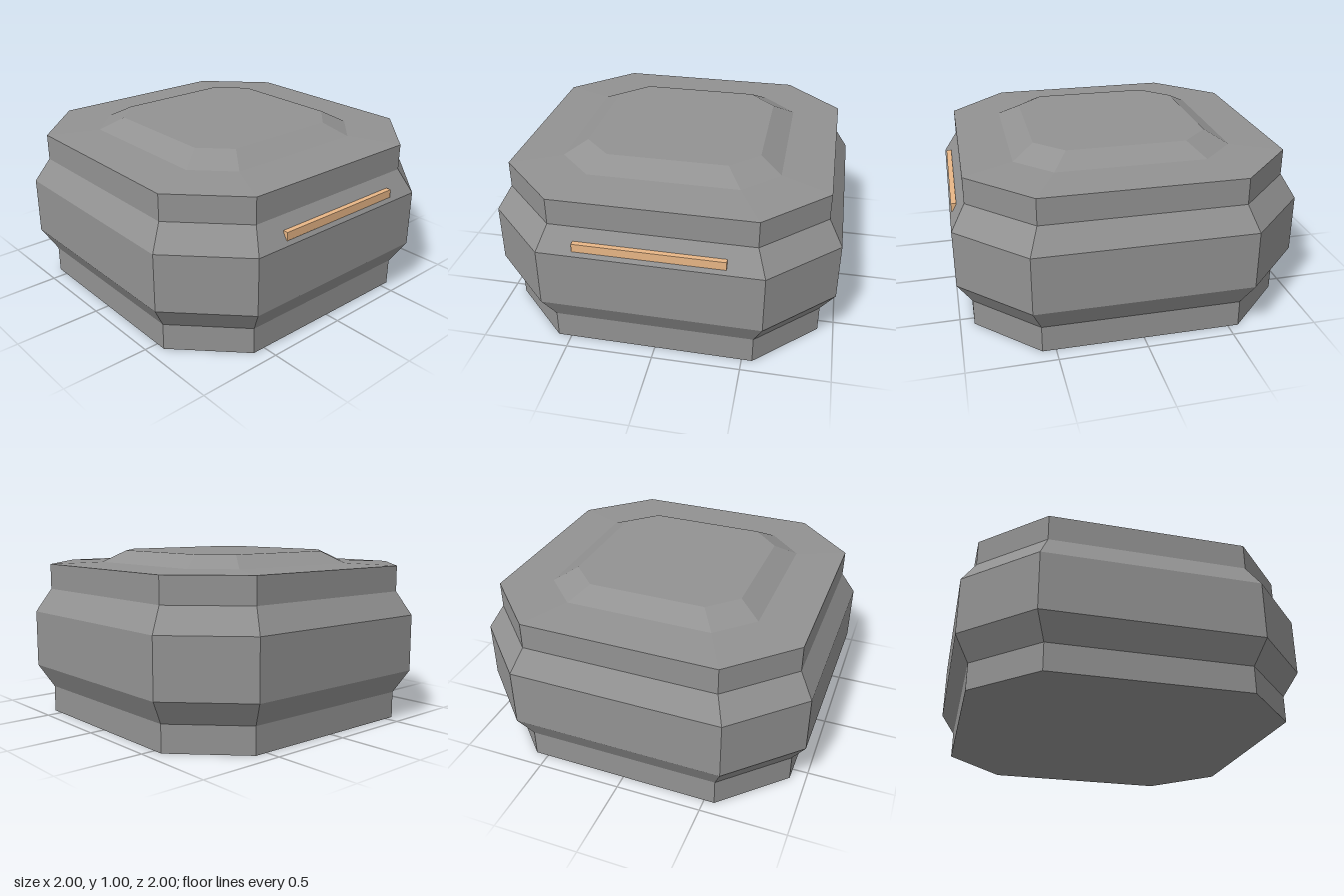
import * as THREE from 'three';

// Corners of a square with half width h whose corners are cut at c
const octagon = (h, c, y) =>
  [[h, -c], [h, c], [c, h], [-c, h], [-h, c], [-h, -c], [-c, -h], [c, -h]].map(([x, z]) => [x, y, z]);

// Stacks octagonal rings [halfWidth, cut, y] from bottom to top and closes both ends
function loft(rings) {
  const loops = rings.map(([h, c, y]) => octagon(h, c, y));
  const pos = [];
  const tri = (...corners) => corners.forEach((p) => pos.push(...p));
  for (let r = 0; r < loops.length - 1; r++) {
    const low = loops[r], high = loops[r + 1];
    for (let i = 0; i < 8; i++) {
      const j = (i + 1) % 8;
      tri(low[i], high[i], high[j]);
      tri(low[i], high[j], low[j]);
    }
  }
  const first = loops[0], last = loops[loops.length - 1];
  for (let i = 1; i < 7; i++) {
    tri(first[0], first[i], first[i + 1]);
    tri(last[0], last[i + 1], last[i]);
  }
  const geometry = new THREE.BufferGeometry();
  geometry.setAttribute('position', new THREE.Float32BufferAttribute(pos, 3));
  geometry.computeVertexNormals();
  return geometry;
}

export function createModel() {
  const group = new THREE.Group();
  const darkGrey = new THREE.MeshStandardMaterial({ color: 0x929292, flatShading: true });
  const tan = new THREE.MeshStandardMaterial({ color: 0xe9b786, flatShading: true });

  // Eight-sided case: foot, wide belt, neck and raised lid
  const body = new THREE.Mesh(loft([
    [0.914, 0.568, 0],
    [0.914, 0.568, 0.157],
    [0.9945, 0.619, 0.296],
    [0.9945, 0.619, 0.632],
    [0.914, 0.568, 0.771],
    [0.914, 0.568, 0.923],
    [0.63, 0.43, 0.932],
    [0.505, 0.345, 1.003],
  ]), darkGrey);
  body.name = 'body';
  group.add(body);

  // Slim strip set into the upper slope on the left side
  const strip = new THREE.Mesh(new THREE.BoxGeometry(0.03, 0.048, 0.832), tan);
  strip.name = 'lightStrip';
  strip.position.set(0.97, 0.682, 0);
  group.add(strip);

  // The whole piece sits very slightly turned
  group.rotation.y = -0.009;
  return group;
}
